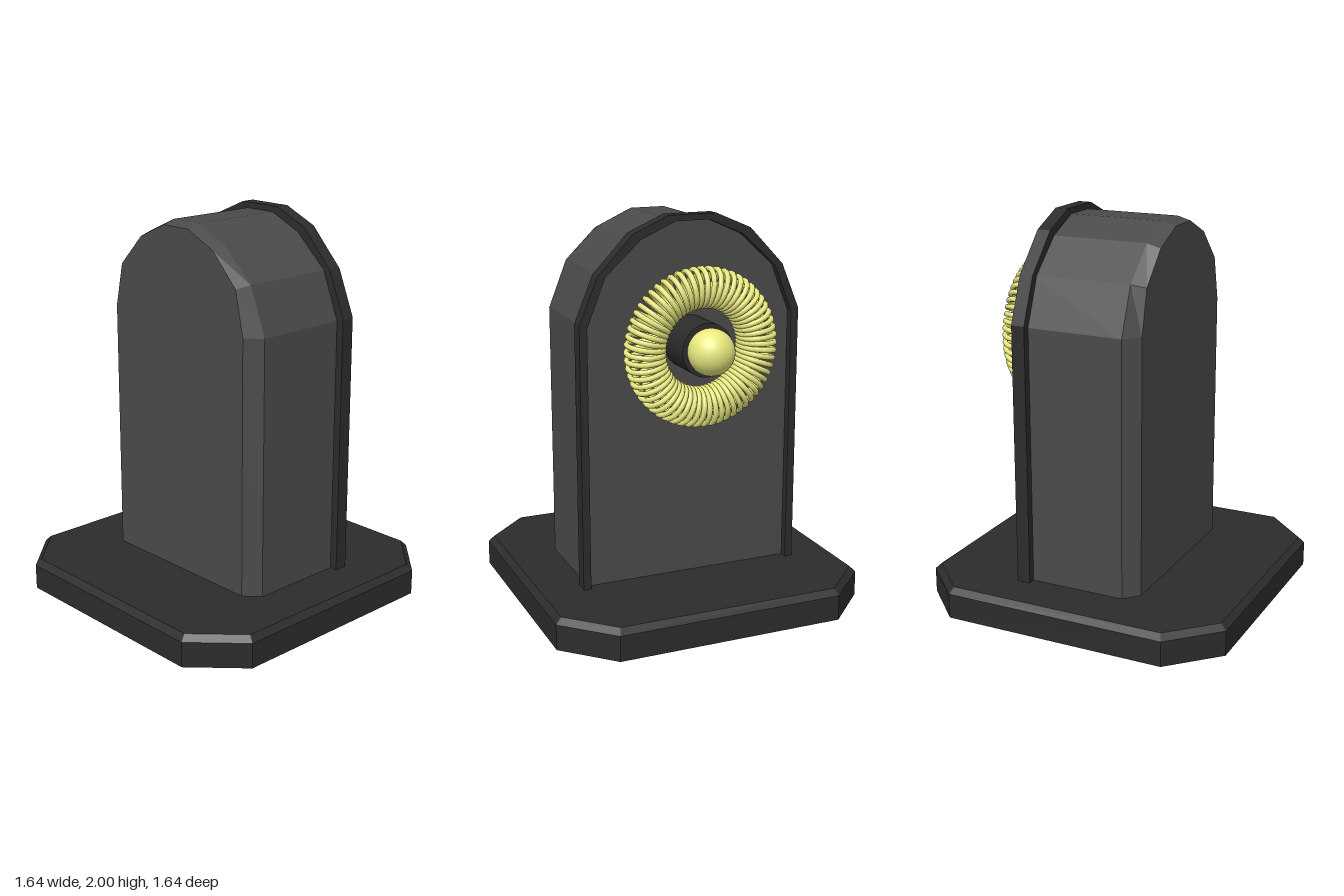
import * as THREE from 'three';

const mat = (color, flatShading = false) => new THREE.MeshStandardMaterial({ color, flatShading });

// Solid through convex cross-sections with equal point counts, both ends capped
function loft(rings) {
  const pos = [];
  const tri = (...pts) => pts.forEach((p) => pos.push(...p));
  const n = rings[0].length;
  for (let r = 0; r < rings.length - 1; r++) {
    const a = rings[r], b = rings[r + 1];
    for (let i = 0; i < n; i++) {
      const j = (i + 1) % n;
      tri(a[i], a[j], b[j]);
      tri(a[i], b[j], b[i]);
    }
  }
  const first = rings[0], last = rings[rings.length - 1];
  for (let i = 1; i < n - 1; i++) {
    tri(first[0], first[i + 1], first[i]);
    tri(last[0], last[i], last[i + 1]);
  }
  const g = new THREE.BufferGeometry();
  g.setAttribute('position', new THREE.Float32BufferAttribute(pos, 3));
  g.computeVertexNormals();
  return g;
}

// Mirror a right-hand half profile, listed bottom to top, into a closed outline
const mirrored = (half) => [...half, ...half.map(([u, y]) => [-u, y]).reverse()];

const BASE_TOP = 0.16;
const inner = mirrored([[0.545, BASE_TOP], [0.545, 1.485], [0.45, 1.725], [0.27, 1.89], [0.09, 1.97]]);
const back = mirrored([[0.47, BASE_TOP], [0.47, 1.485], [0.42, 1.71], [0.265, 1.87], [0.09, 1.95]]);
const outer = mirrored([[0.585, BASE_TOP], [0.585, 1.5], [0.49, 1.73], [0.31, 1.92], [0.125, 2]]);

export function createModel() {
  const model = new THREE.Group();
  const dark = mat(0x2c2c2c, true);
  const grey = mat(0x4a4a4a, true);
  const yellow = mat(0xe8e880);
  const add = (name, geometry, material, x = 0, y = 0, z = 0) => {
    const mesh = new THREE.Mesh(geometry, material);
    mesh.name = name;
    mesh.position.set(x, y, z);
    model.add(mesh);
    return mesh;
  };

  // Octagonal base with a bevelled top edge
  const octagon = (h, c, y) =>
    [[h, -c], [h, c], [c, h], [-c, h], [-h, c], [-h, -c], [-c, -h], [c, -h]].map(([x, v]) => [x, y, -v]);
  add('base', loft([octagon(0.82, 0.585, 0), octagon(0.82, 0.585, 0.13), octagon(0.79, 0.572, BASE_TOP)]), dark);

  // Arched body, chamfered at the rear
  const atX = (outline, x) => outline.map(([u, y]) => [x, y, -u]);
  add('body', loft([atX(back, -0.32), atX(inner, -0.25), atX(inner, 0.28)]), grey);

  // Arched rim around the face, open at the bottom
  const toVec = ([u, y]) => new THREE.Vector2(u, y);
  const rimShape = new THREE.Shape([...outer.map(toVec), ...inner.map(toVec).reverse()]);
  const rim = add('faceRim', new THREE.ExtrudeGeometry(rimShape, { depth: 0.07, bevelEnabled: false }), dark, 0.25);
  rim.rotation.y = Math.PI / 2;

  // Post and ball in the middle of the coil
  const cy = 1.37;
  const post = add('post', new THREE.CylinderGeometry(0.133, 0.133, 0.23, 32), mat(0x2c2c2c), 0.385, cy);
  post.rotation.z = -Math.PI / 2;
  add('ball', new THREE.SphereGeometry(0.115, 32, 20), yellow, 0.54, cy);

  // Wire wound around a ring
  class Coil extends THREE.Curve {
    getPoint(t, target = new THREE.Vector3()) {
      const a = t * Math.PI * 2;
      const p = a * 60;
      const r = 0.295 + 0.09 * Math.cos(p);
      return target.set(0.09 * Math.sin(p), r * Math.sin(a), -r * Math.cos(a));
    }
    getPointAt(t, target) { return this.getPoint(t, target); }
  }
  add('coil', new THREE.TubeGeometry(new Coil(), 60 * 20, 0.0135, 8, false), yellow, 0.427, cy);

  return model;
}
